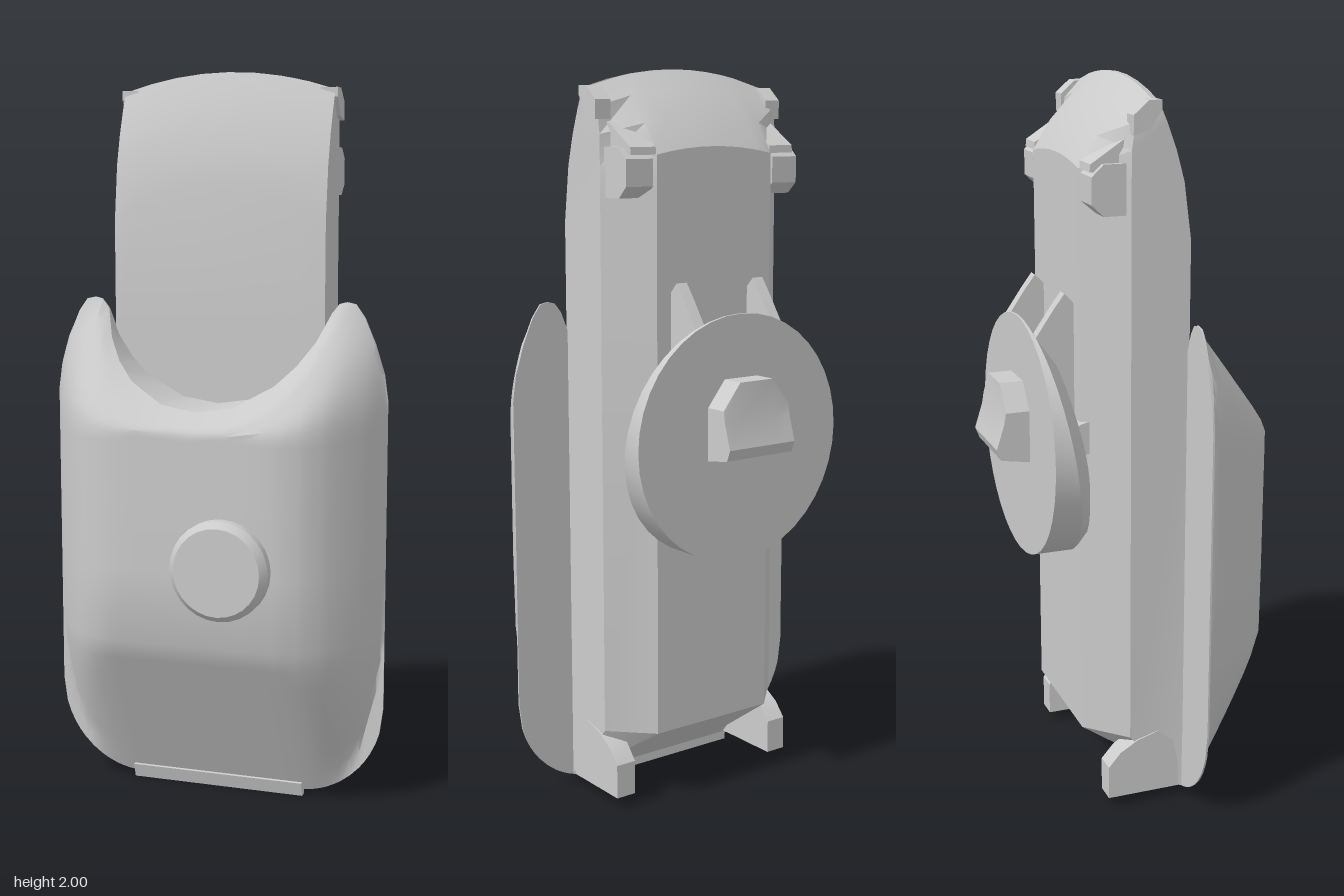
import * as THREE from 'three';
import { toCreasedNormals } from 'three/addons/utils/BufferGeometryUtils.js';

const material = new THREE.MeshStandardMaterial({ color: 0xcccccc, side: THREE.DoubleSide });
const clamp = THREE.MathUtils.clamp;

function add(group, name, geometry, crease = 0.5) {
  const mesh = new THREE.Mesh(toCreasedNormals(geometry, crease), material);
  mesh.name = name;
  group.add(mesh);
  return mesh;
}

// Piecewise linear lookup in a list of [input, output] pairs
function lookup(table, v) {
  if (v <= table[0][0]) return table[0][1];
  for (let i = 1; i < table.length; i++) {
    const [a, p] = table[i - 1], [b, q] = table[i];
    if (v <= b) return p + (q - p) * (v - a) / (b - a);
  }
  return table[table.length - 1][1];
}

// Closed skin over equal-length loops of [x, y, z], capped at both ends
function loft(loops) {
  const n = loops[0].length, pos = loops.flat(2), idx = [];
  for (let i = 0; i < loops.length - 1; i++) {
    for (let j = 0; j < n; j++) {
      const a = i * n + j, b = i * n + (j + 1) % n;
      idx.push(a, b, b + n, a, b + n, a + n);
    }
  }
  [0, loops.length - 1].forEach((l) => {
    const centre = pos.length / 3;
    for (let k = 0; k < 3; k++) pos.push(loops[l].reduce((s, p) => s + p[k], 0) / n);
    for (let j = 0; j < n; j++) {
      const a = l * n + j, b = l * n + (j + 1) % n;
      idx.push(centre, ...(l ? [a, b] : [b, a]));
    }
  });
  // Turn the skin outward if its volume comes out negative
  const point = (i) => new THREE.Vector3().fromArray(pos, i * 3);
  let volume = 0;
  for (let i = 0; i < idx.length; i += 3) {
    volume += point(idx[i]).dot(point(idx[i + 1]).cross(point(idx[i + 2])));
  }
  if (volume < 0) idx.reverse();
  const g = new THREE.BufferGeometry();
  g.setAttribute('position', new THREE.Float32BufferAttribute(pos, 3));
  g.setIndex(idx);
  return g;
}

// Side profile of [z, y] points spanning x0 to x1
const slab = (profile, x0, x1) => loft([x0, x1].map((x) => profile.map(([z, y]) => [x, y, z])));

// Front shell: columns across x, each with a domed front and a flat back
function shellGeometry() {
  const topEdge = [[0, 1.105], [0.1, 1.12], [0.2, 1.175], [0.25, 1.225], [0.29, 1.285], [0.32, 1.36],
    [0.34, 1.385], [0.36, 1.39], [0.385, 1.385], [0.41, 1.35], [0.44, 1.28], [0.465, 1.2], [0.475, 1.13]];
  const dome = [[0.2, 0.25], [0.25, 0.243], [0.3, 0.225], [0.35, 0.19], [0.4, 0.13], [0.44, 0.07], [0.475, 0]];
  const half = [0, 0.05, 0.1, 0.15, 0.2, 0.23, 0.25, 0.27, 0.29, 0.305, 0.32, 0.34, 0.36, 0.385, 0.41, 0.425, 0.44, 0.455, 0.465, 0.475];
  const xs = [...half.slice(1).reverse().map((x) => -x), ...half];
  return loft(xs.map((x) => {
    const ax = Math.abs(x), t = clamp((ax - 0.23) / 0.245, 0, 1);
    const yb = 0.02 + 0.26 * (1 - Math.sqrt(1 - t * t)), yt = lookup(topEdge, ax);
    const front = (y) => {
      const side = 1 - lookup(dome, ax) / 0.25;
      const end = Math.max(clamp(1 - (y - yb) / (0.48 - yb * 0.5), 0, 1), clamp((y - 1.06) / 0.33, 0, 1));
      const notch = ax < 0.33 ? 0.022 * (1 - clamp((yt - y) / 0.06, 0, 1)) : 0;
      return 0.09 + Math.max(0, 0.25 * (1 - Math.hypot(side, end)) - notch);
    };
    const ys = [];
    for (let i = 0; i <= 8; i++) ys.push(yb + (0.48 - yb) * i / 8);
    ys.push(0.68, 0.88);
    for (let i = 0; i <= 8; i++) ys.push(1.03 + (yt - 1.03) * i / 8);
    return [[x, yb, 0.085], ...ys.map((y) => [x, y, front(y)]), [x, yt, 0.085]];
  }));
}

// Back body: horizontal sections with bevelled rear corners and an arched top
function bodyGeometry() {
  const levels = [[0.03, 0.09, 0.08, 0], [0.21, 0.09, -0.175, 0], [1.3, 0.09, -0.175, 0], [1.7, 0.09, -0.175, 0.1],
    [1.8, 0.07, -0.175, 0.05], [1.88, 0.048, -0.125, 0.05], [1.95, 0.022, -0.06, 0.05], [2, 0, -0.012, 0.05]];
  const steps = [-1, -0.75, -0.5, -0.25, 0, 0.25, 0.5, 0.75, 1];
  return loft(levels.map(([y, zf, zb, arch]) => {
    const mid = Math.max(zb, -0.07);
    const at = (x, z, a = arch) => [x, y - a * (x / 0.3) ** 2, z];
    const rearArch = Math.min(arch, 0.05);
    return [...steps.map((s) => at(s * 0.3, zf)), at(0.295, mid, rearArch),
      ...steps.slice().reverse().map((s) => at(s * 0.19, zb, rearArch)), at(-0.295, mid, rearArch)];
  }));
}

// Disc: round rim sliced by a slanted front, then drawn in to a smaller seat
function discGeometry() {
  const ring = (r, cy, z) => Array.from({ length: 40 }, (_, i) => {
    const a = i / 40 * Math.PI * 2, s = Math.sin(a);
    return [r * Math.cos(a), cy + r * s, z(s)];
  });
  return loft([
    ring(0.335, 1.035, () => -0.29),
    ring(0.335, 1.035, (s) => -0.232 - 0.052 * s),
    ring(0.29, 1.01, (s) => -0.19 - 0.04 * s),
    ring(0.21, 0.99, (s) => -0.16 - 0.03 * s),
  ]);
}

export function createModel() {
  const model = new THREE.Group();
  model.name = 'mountedDevice';

  add(model, 'frontShell', shellGeometry(), 0.6);
  add(model, 'body', bodyGeometry());
  add(model, 'bottomLip', slab([[0.08, 0.005], [0.1, 0.005], [0.112, 0.045], [0.08, 0.05]], -0.25, 0.25));

  // Round button on the front
  const buttonProfile = [[0, 0], [0.135, 0], [0.135, 0.03], [0.118, 0.05], [0, 0.05]];
  const button = add(model, 'button', new THREE.LatheGeometry(buttonProfile.map(([x, y]) => new THREE.Vector2(x, y)), 28), 0.4);
  button.rotation.x = Math.PI / 2;
  button.position.set(0.09, 0.7, 0.335);

  // Rear disc with its grip
  add(model, 'rearDisc', discGeometry());
  const grip = [[-0.11, 1.13], [-0.055, 1.2], [0.055, 1.2], [0.11, 1.13]].map(([x, top]) =>
    [[-0.28, top], [-0.355, top], [-0.36, 1.1], [-0.382, 1.03], [-0.37, 1.0], [-0.28, 0.985]].map(([z, y]) => [x, y, z]));
  add(model, 'rearGrip', loft(grip), 0.3);
  const pin = add(model, 'hingePin', new THREE.CylinderGeometry(0.045, 0.045, 0.42, 12));
  pin.rotation.z = Math.PI / 2;
  pin.position.set(0, 1.07, -0.16);

  // Mirrored details
  const prong = [[-0.17, 1.42], [-0.2, 1.45], [-0.23, 1.41], [-0.285, 1.33], [-0.285, 1.1], [-0.17, 1.1]];
  const lug = [[-0.05, 1.71], [-0.07, 1.67], [-0.14, 1.67], [-0.172, 1.7], [-0.172, 1.77], [-0.14, 1.8], [-0.07, 1.8], [-0.05, 1.77]];
  const wedge = [[-0.03, 1.78], [-0.172, 1.78], [-0.17, 1.8], [-0.07, 1.865], [-0.04, 1.84]];
  const foot = [[0.075, 0.035], [0.07, 0.12], [0.055, 0.185], [0.01, 0.218], [-0.05, 0.2], [-0.1, 0.17], [-0.135, 0.13], [-0.135, 0.035]];
  const ear = [[0.005, 1.93], [0.005, 1.955], [-0.03, 1.955], [-0.07, 1.92], [-0.07, 1.87], [-0.03, 1.88]];
  for (const [side, s] of [['left', 1], ['right', -1]]) {
    add(model, side + 'Prong', slab(prong, s * 0.112, s * 0.145), 0.3);
    add(model, side + 'Lug', slab(lug, s * 0.2, s * 0.285), 0.3);
    add(model, side + 'Wedge', slab(wedge, s * 0.19, s * 0.27), 0.3);
    add(model, side + 'Foot', slab(foot, s * 0.24, s * 0.3), 0.4);
    add(model, side + 'Ear', slab(ear, s * 0.26, s * 0.308), 0.3);
  }
  return model;
}
